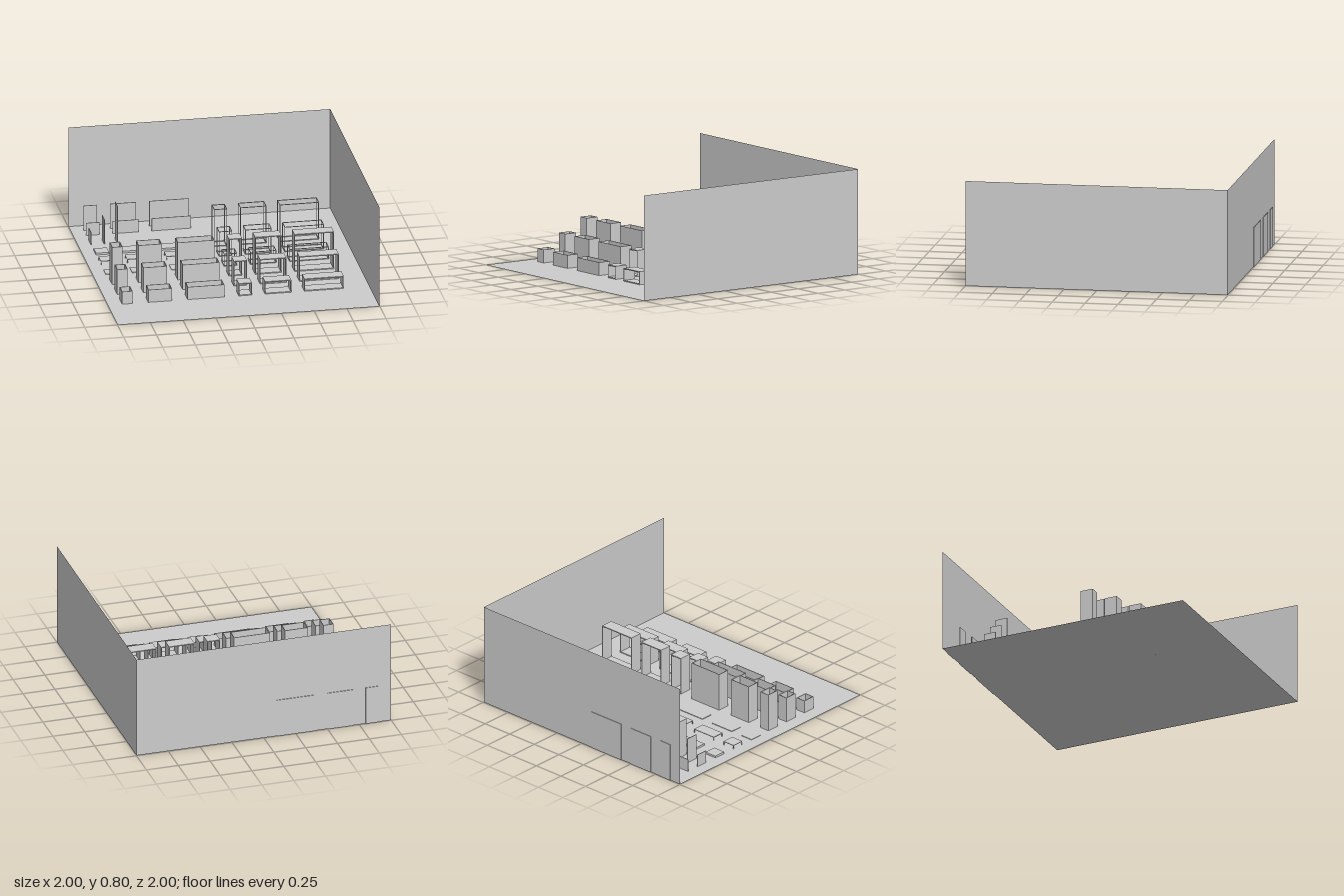
import * as THREE from 'three';

const T = 0.005; // board thickness
const material = new THREE.MeshStandardMaterial({ color: 0xcccccc, side: THREE.DoubleSide });

// Box given by its minimum and maximum corners
function box(parent, name, x0, x1, y0, y1, z0, z1) {
  const mesh = new THREE.Mesh(new THREE.BoxGeometry(x1 - x0, y1 - y0, z1 - z0), material);
  mesh.position.set((x0 + x1) / 2, (y0 + y1) / 2, (z0 + z1) / 2);
  mesh.name = name;
  parent.add(mesh);
}

function group(parent, name) {
  const g = new THREE.Group();
  g.name = name;
  parent.add(g);
  return g;
}

// Open-topped crate
function crate(parent, x0, x1, z0, z1, h) {
  const g = group(parent, 'crate');
  box(g, 'crateBottom', x0, x1, 0, T, z0, z1);
  box(g, 'crateSide', x0, x0 + T, T, h, z0, z1);
  box(g, 'crateSide', x1 - T, x1, T, h, z0, z1);
  box(g, 'crateFront', x0 + T, x1 - T, T, h, z1 - T, z1);
  box(g, 'crateBack', x0 + T, x1 - T, T, h, z0, z0 + T);
}

// Rectangular tube, open at front and back
function tunnel(parent, x0, x1, z0, z1, h) {
  const g = group(parent, 'tunnel');
  box(g, 'tunnelBottom', x0, x1, 0, T * 1.5, z0, z1);
  box(g, 'tunnelTop', x0, x1, h - T * 1.5, h, z0, z1);
  box(g, 'tunnelSide', x0, x0 + T, T * 1.5, h - T * 1.5, z0, z1);
  box(g, 'tunnelSide', x1 - T, x1, T * 1.5, h - T * 1.5, z0, z1);
}

// Four upright posts
function posts(g, name, x0, x1, z0, z1, h) {
  for (const x of [x0, x1 - T]) {
    for (const z of [z0, z1 - T]) box(g, name, x, x + T, 0, h, z, z + T);
  }
}

// Open skeleton of bars
function frame(parent, x0, x1, z0, z1, h) {
  const g = group(parent, 'openFrame');
  posts(g, 'framePost', x0, x1, z0, z1, h);
  for (const y of [0, h - T]) {
    for (const z of [z0, z1 - T]) box(g, 'frameRail', x0 + T, x1 - T, y, y + T, z, z + T);
    for (const x of [x0, x1 - T]) box(g, 'frameRail', x, x + T, y, y + T, z0 + T, z1 - T);
  }
}

// Low table
function table(parent, x0, x1, z0, z1) {
  const g = group(parent, 'lowTable');
  posts(g, 'tableLeg', x0, x1, z0, z1, 0.025);
  box(g, 'tableTop', x0, x1, 0.025, 0.03, z0, z1);
}

export function createModel() {
  const model = new THREE.Group();
  model.name = 'displayRoom';

  // Floor and two walls
  const plane = (name, w, h, x, y, z, rx, ry) => {
    const mesh = new THREE.Mesh(new THREE.PlaneGeometry(w, h), material);
    mesh.position.set(x, y, z);
    mesh.rotation.set(rx, ry, 0);
    mesh.name = name;
    model.add(mesh);
  };
  plane('floor', 1.995, 1.995, 0, 0, 0.0025, -Math.PI / 2, 0);
  plane('backWall', 1.995, 0.8, 0, 0.4, -0.995, 0, 0);
  plane('sideWall', 1.995, 0.8, 0.9975, 0.4, 0.0025, 0, -Math.PI / 2);

  const left = [[-0.9, -0.8], [-0.7, -0.5], [-0.4, -0.1]];
  const right = [[0, 0.1], [0.2, 0.4], [0.5, 0.8]];

  for (let i = 0; i < 3; i++) {
    const rising = 0.1 * (i + 1);
    const falling = 0.1 * (3 - i);
    for (const [x0, x1] of left) {
      // Upright panels, tallest at the back
      const z = -0.995 + 0.1 * i;
      box(model, 'uprightPanel', x0, x1, 0, falling, z - T, z);
      // Crates, lowest at the front
      crate(model, x0 + 0.01, x1 - 0.01, 0.1 + 0.2 * i, 0.2 + 0.2 * i, falling);
    }
    // Upright panels turned sideways
    const px = -0.9 + 0.1 * i;
    box(model, 'sidewaysPanel', px, px + T, 0, rising, -0.695, -0.6);

    for (const [x0, x1] of right) {
      frame(model, x0, x1, -0.497 + 0.2 * i, -0.4 + 0.2 * i, falling);
      tunnel(model, x0, x1, 0.1 + 0.2 * i, 0.2 + 0.2 * i, falling);
    }
  }

  // Flat pieces: raised slabs, low tables and thin sheets
  for (const [x0, x1] of left) {
    box(model, 'slab', x0, x1, 0, 0.015, -0.497, -0.4);
    table(model, x0, x1, -0.297, -0.2);
    box(model, 'thinSheet', x0, x1, 0, T, -0.097, 0);
  }
  return model;
}
